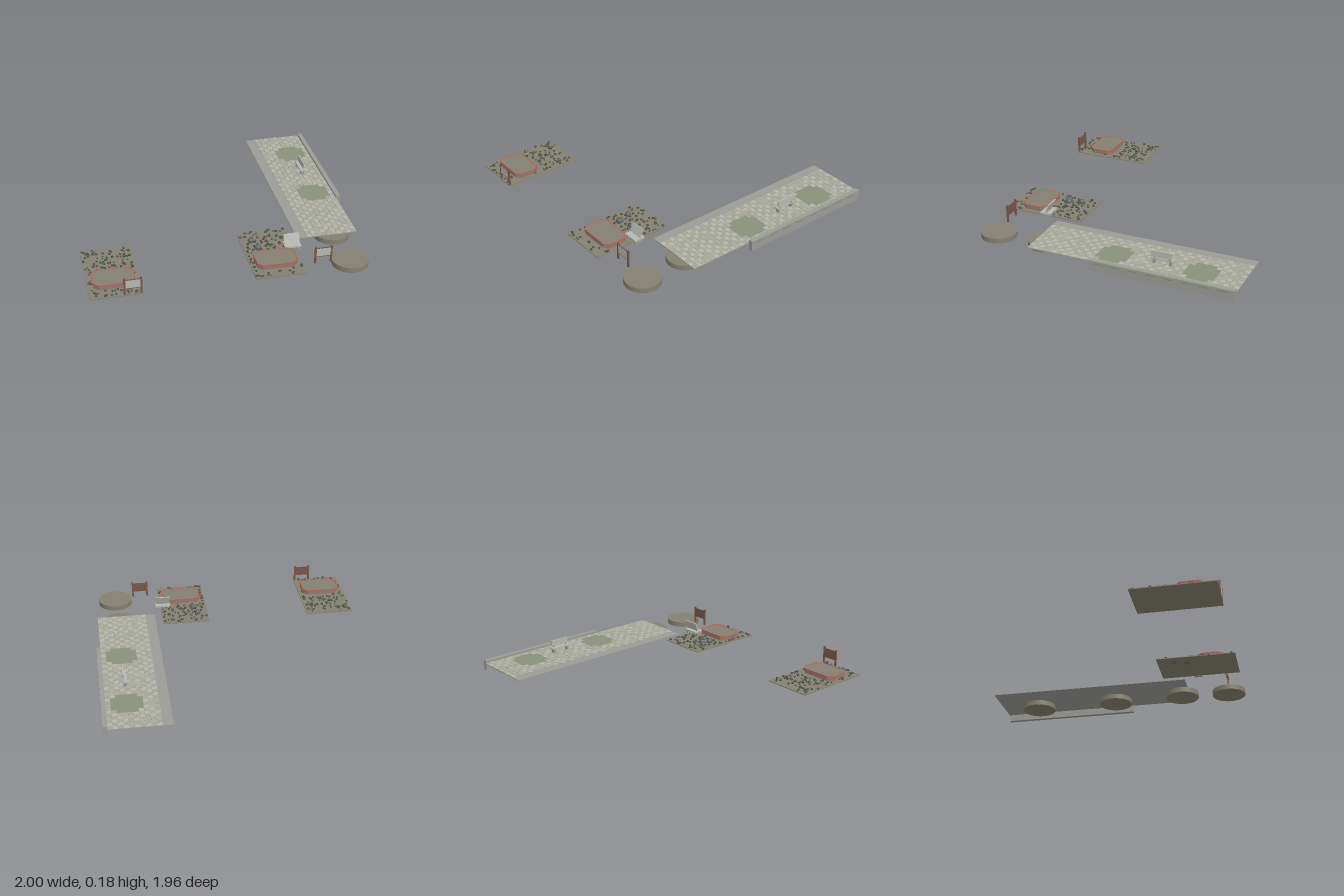
import * as THREE from 'three';
import { mergeGeometries } from 'three/addons/utils/BufferGeometryUtils.js';

const mat = (color) => new THREE.MeshStandardMaterial({ color, flatShading: true });
const M = {
  concrete: mat(0x9b9c96), bench: mat(0xb5b8b0), soil: mat(0x858070), brick: mat(0x947a6e),
  rim: mat(0xb8625a), wood: mat(0x7a5648), shrub: mat(0x46503f), rock: mat(0x5e666a),
  grass: mat(0x8a917a), weed: mat(0x7d8a58), dark: mat(0x4a4c48),
  tiles: [mat(0xb3b4aa), mat(0xa4a695), mat(0xabab9c)],
};

function rng(seed) {
  return () => (seed = (seed * 16807) % 2147483647) / 2147483647;
}

function add(parent, name, geo, material, x = 0, y = 0, z = 0) {
  const m = new THREE.Mesh(geo, material);
  m.name = name;
  m.position.set(x, y, z);
  parent.add(m);
  return m;
}

// box given by its minimum and maximum corners
function box(parent, name, material, x0, x1, y0, y1, z0, z1) {
  return add(parent, name, new THREE.BoxGeometry(x1 - x0, y1 - y0, z1 - z0), material,
    (x0 + x1) / 2, (y0 + y1) / 2, (z0 + z1) / 2);
}

function group(parent, name, x = 0, y = 0, z = 0) {
  const g = new THREE.Group();
  g.name = name;
  g.position.set(x, y, z);
  parent.add(g);
  return g;
}

// rectangle with cut corners, as a Shape or Path
function octagon(target, w, d, c) {
  const a = w / 2, b = d / 2;
  return target.setFromPoints([[-a + c, -b], [a - c, -b], [a, -b + c], [a, b - c],
    [a - c, b], [-a + c, b], [-a, b - c], [-a, -b + c]].map(([x, y]) => new THREE.Vector2(x, y)));
}

function slabFrom(shape, depth) {
  return new THREE.ExtrudeGeometry(shape, { depth, bevelEnabled: false }).rotateX(-Math.PI / 2);
}

// planted plot with a raised bed
function plot(parent, name, cx, seed) {
  const g = group(parent, name, cx, 0, 0.673);
  box(g, 'ground', M.soil, -0.178, 0.178, 0.05, 0.056, -0.293, 0.293);
  const bed = group(g, 'raisedBed', 0.003, 0, 0.107);
  add(bed, 'bedWall', slabFrom(octagon(new THREE.Shape(), 0.282, 0.184, 0.034), 0.03), M.brick, 0, 0.056, 0);
  const rim = octagon(new THREE.Shape(), 0.288, 0.19, 0.035);
  rim.holes.push(octagon(new THREE.Path(), 0.274, 0.176, 0.033));
  add(bed, 'bedRim', slabFrom(rim, 0.008), M.rim, 0, 0.084, 0);
  add(bed, 'bedSoil', slabFrom(octagon(new THREE.Shape(), 0.274, 0.176, 0.033), 0.004), M.soil, 0, 0.086, 0);

  // scattered low shrubs outside the bed
  const rand = rng(seed), parts = [];
  while (parts.length < 110) {
    const x = (rand() - 0.5) * 0.335, z = (rand() - 0.5) * 0.565, r = 0.007 + rand() * 0.005;
    if (Math.abs(x - 0.003) < 0.148 && Math.abs(z - 0.107) < 0.102) continue;
    const s = new THREE.IcosahedronGeometry(r, 0);
    s.rotateY(rand() * 6).scale(1, 0.7, 1).translate(x, 0.058 + r * 0.5, z);
    parts.push(s);
  }
  add(g, 'shrubs', mergeGeometries(parts), M.shrub);
}

// two posts with a board between them
function sign(parent, name, cx, cz) {
  const g = group(parent, name, cx, 0, cz);
  for (const s of [-1, 1]) box(g, 'post', M.wood, s * 0.056 - 0.006, s * 0.056 + 0.006, 0.052, 0.18, -0.006, 0.006);
  box(g, 'board', M.wood, -0.052, 0.052, 0.1, 0.17, -0.004, 0.002);
  box(g, 'panel', M.bench, -0.05, 0.05, 0.106, 0.165, 0.001, 0.004);
}

export function createModel() {
  const root = new THREE.Group();
  root.name = 'parkScene';

  plot(root, 'rightPlot', -0.822, 17);
  plot(root, 'leftPlot', 0.297, 91);
  sign(root, 'rightSign', -0.712, 0.957);
  sign(root, 'leftSign', 0.617, 0.857);

  // round soil beds, some under the walkway
  for (const [x, z] of [[0.82, -0.69], [0.82, -0.06], [0.797, 0.482], [0.815, 0.847]])
    add(root, 'roundBed', new THREE.CylinderGeometry(0.128, 0.128, 0.038, 32), M.soil, x, 0.032, z);

  // walkway slab and its pavers
  const walk = group(root, 'walkway');
  box(walk, 'slab', M.concrete, 0.528, 0.968, 0.051, 0.056, -0.985, 0.538);
  const rand = rng(5), n = 10, rows = 41, sx = 0.368 / n, sz = 1.523 / rows;
  const tiles = [[], [], []], patch = [];
  for (let i = 0; i < n; i++) {
    for (let j = 0; j < rows; j++) {
      const x = 0.6 + (i + 0.5) * sx, z = -0.985 + (j + 0.5) * sz;
      const inPatch = [-0.69, -0.06].some((c) => Math.hypot(x - 0.82, z - c) < 0.112);
      const t = inPatch ? 0.0005 : 0.0025 + rand() * 0.0015, gap = inPatch ? 0 : 0.002;
      const b = new THREE.BoxGeometry(sx - gap, t, sz - gap).translate(x, 0.056 + t / 2, z);
      if (inPatch) patch.push(b);
      else tiles[rand() < 0.25 ? 2 : (i + j) % 2].push(b);
    }
  }
  tiles.forEach((list, k) => add(walk, 'pavers', mergeGeometries(list), M.tiles[k]));
  add(walk, 'grassPatches', mergeGeometries(patch), M.grass);

  // low wall along the outer edge with weeds in its joint
  const wall = group(root, 'edgeWall');
  box(wall, 'wall', M.concrete, 0.966, 0.998, 0, 0.076, -0.98, 0.055);
  for (let i = 0; i < 8; i++) {
    const z = -0.93 + i * 0.125;
    box(wall, 'weeds', M.weed, 0.995, 1, 0.056, 0.061, z, z + 0.07);
  }

  // bench facing the front, leaning backwards
  const bench = group(root, 'leaningBench', 0.457, 0, 0);
  box(bench, 'seat', M.bench, -0.058, 0.058, 0.078, 0.09, 0.603, 0.683);
  for (const s of [-1, 1]) box(bench, 'leg', M.concrete, s * 0.042 - 0.01, s * 0.042 + 0.01, 0.053, 0.078, 0.612, 0.676);
  const back = box(bench, 'backrest', M.bench, -0.056, 0.056, 0.09, 0.16, 0.622, 0.63);
  back.rotation.x = -0.36;

  // narrow bench on the walkway
  const bench2 = group(root, 'walkwayBench', 0.82, 0, -0.407);
  box(bench2, 'seat', M.bench, -0.018, 0.014, 0.09, 0.102, -0.08, 0.08);
  box(bench2, 'backrest', M.bench, 0.004, 0.014, 0.108, 0.155, -0.072, 0.072);
  for (const s of [-1, 1]) {
    box(bench2, 'leg', M.concrete, -0.014, 0.012, 0.056, 0.09, s * 0.06 - 0.008, s * 0.06 + 0.008);
    box(bench2, 'backSupport', M.dark, 0.006, 0.012, 0.1, 0.11, s * 0.055 - 0.004, s * 0.055 + 0.004);
  }

  // two boulders in the left plot
  for (const [x, z, r] of [[0.195, 0.507, 0.023], [0.222, 0.6, 0.026]])
    add(root, 'boulder', new THREE.IcosahedronGeometry(r, 1), M.rock, x, 0.063, z);

  return root;
}
